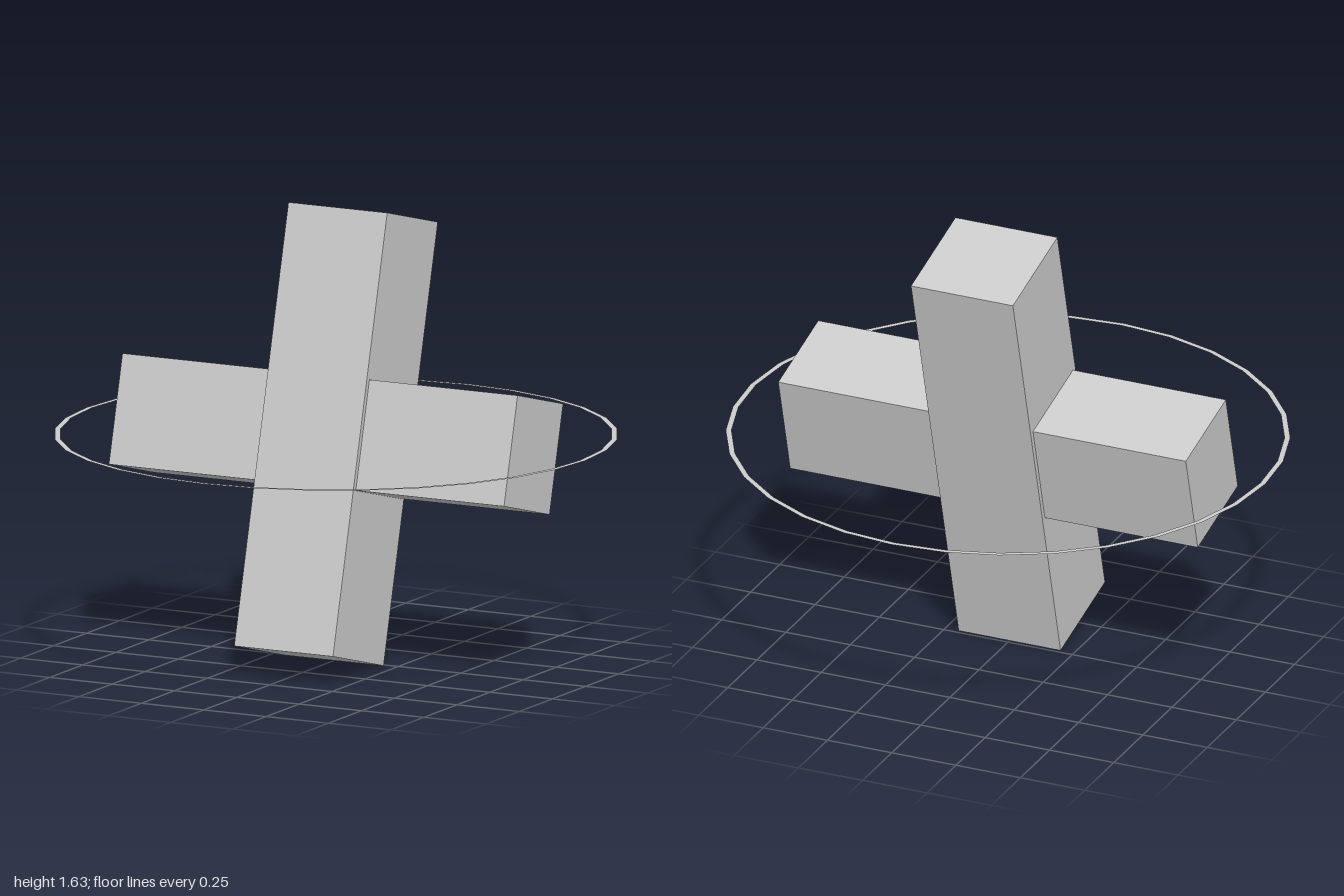
import * as THREE from 'three';

const TILT = -THREE.MathUtils.degToRad(15);
const CENTRE_Y = 0.8163;

export function createModel() {
  const model = new THREE.Group();
  const grey = new THREE.MeshStandardMaterial({ color: 0xcccccc, flatShading: true });
  const thin = new THREE.MeshStandardMaterial({ color: 0xcccccc, side: THREE.DoubleSide });

  const add = (name, geometry, material, parent) => {
    const mesh = new THREE.Mesh(geometry, material);
    mesh.name = name;
    parent.add(mesh);
    return mesh;
  };

  // Tilted cross: tall post with a slightly shallower crossbar through it
  const cross = new THREE.Group();
  cross.name = 'cross';
  cross.position.y = CENTRE_Y;
  cross.rotation.x = TILT;
  add('post', new THREE.BoxGeometry(0.396, 1.584, 0.396), grey, cross);
  add('crossbar', new THREE.BoxGeometry(1.584, 0.396, 0.3564), grey, cross);
  model.add(cross);

  // Flat, level ring around the middle
  const ring = add('ring', new THREE.RingGeometry(0.98, 1, 32), thin, model);
  ring.rotation.x = -Math.PI / 2;
  ring.position.y = CENTRE_Y;

  return model;
}
